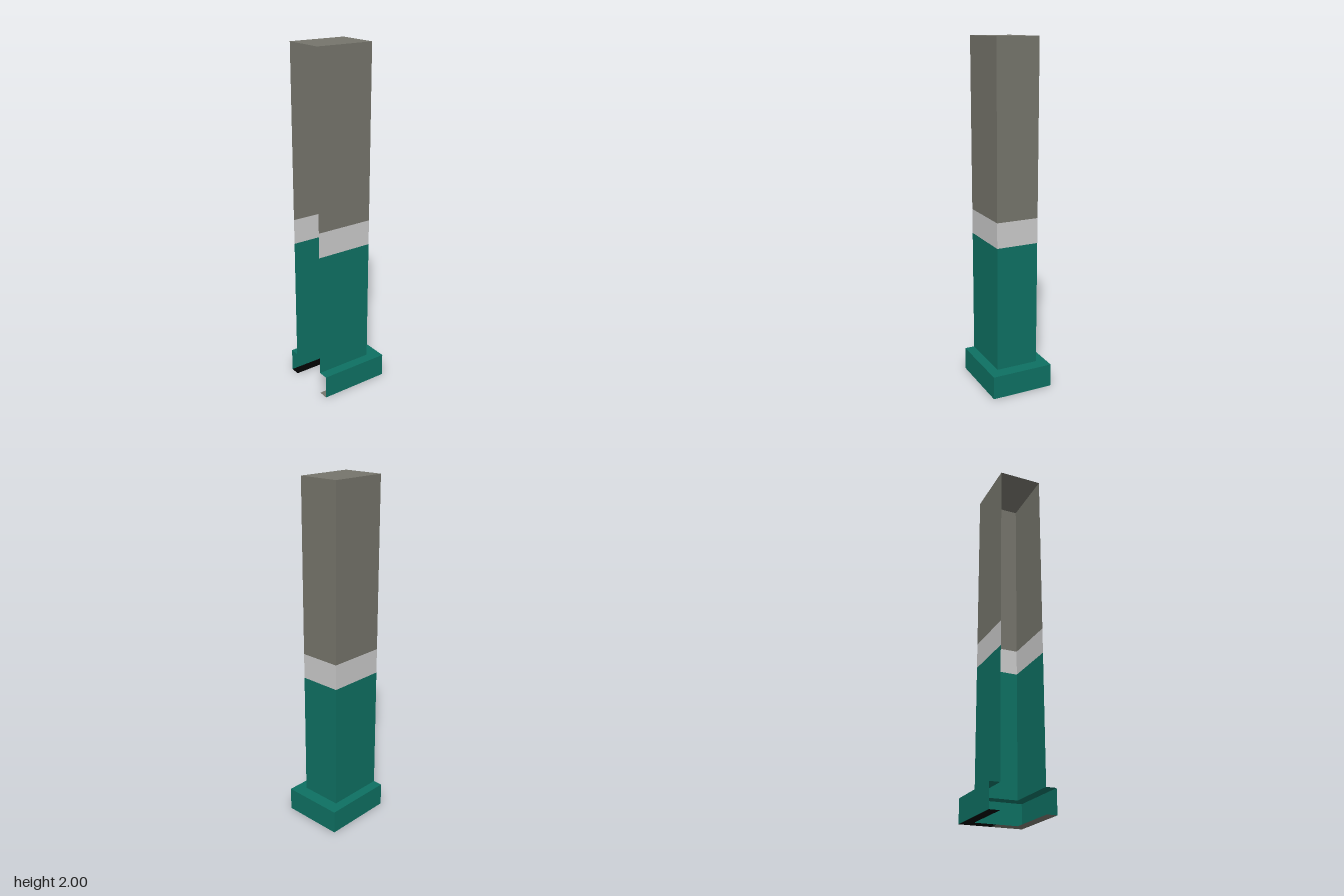
import * as THREE from 'three';

const mat = (name, color) =>
  new THREE.MeshStandardMaterial({ name, color, side: THREE.DoubleSide });

// Footprints: both are open on the -x side
const OPEN = -0.209;
const shaft = { x: 0.133, back: -0.126, front: 0.123 };
const base = { x: 0.208, back: -0.184, front: 0.182 };
const BASE_TOP = 0.136, BAND_LOW = 0.868, BAND_HIGH = 1.014, TOP = 2;

// Thin three-sided wall (front, +x side, back) between two heights
function wall(f, y0, y1) {
  const path = [[OPEN, f.front], [f.x, f.front], [f.x, f.back], [OPEN, f.back]];
  const pos = [];
  for (let i = 0; i < 3; i++) {
    const [ax, az] = path[i], [bx, bz] = path[i + 1];
    pos.push(ax, y0, az, bx, y0, bz, bx, y1, bz, ax, y0, az, bx, y1, bz, ax, y1, az);
  }
  const g = new THREE.BufferGeometry();
  g.setAttribute('position', new THREE.Float32BufferAttribute(pos, 3));
  g.computeVertexNormals();
  return g;
}

// Flat horizontal sheet from [x, z] corners, facing up or down
function sheet(corners, y, up) {
  const shape = new THREE.Shape(corners.map(([x, z]) => new THREE.Vector2(x, up ? -z : z)));
  const g = new THREE.ShapeGeometry(shape);
  g.rotateX(up ? -Math.PI / 2 : Math.PI / 2);
  return g.translate(0, y, 0);
}

export function createModel() {
  const model = new THREE.Group();
  model.name = 'post';
  const green = mat('green', 0x0e7062);
  const grey = mat('warm grey', 0x75746b);
  const white = mat('pale grey', 0xc9c9c9);
  const black = mat('black', 0x020202);
  const add = (name, geometry, material) => {
    const mesh = new THREE.Mesh(geometry, material);
    mesh.name = name;
    model.add(mesh);
  };

  // Shaft in three bands with a closed top
  add('lowerShaft', wall(shaft, BASE_TOP, BAND_LOW), green);
  add('paleBand', wall(shaft, BAND_LOW, BAND_HIGH), white);
  add('upperShaft', wall(shaft, BAND_HIGH, TOP), grey);
  add('topCap', sheet([[OPEN, shaft.front], [shaft.x, shaft.front],
    [shaft.x, shaft.back], [OPEN, shaft.back]], TOP, true), grey);

  // Hollow plinth: outer wall and upper ledge around the shaft
  add('plinthWall', wall(base, 0, BASE_TOP), green);
  add('plinthLedge', sheet([[OPEN, base.front], [base.x, base.front], [base.x, base.back],
    [OPEN, base.back], [OPEN, shaft.back], [shaft.x, shaft.back],
    [shaft.x, shaft.front], [OPEN, shaft.front]], BASE_TOP, true), green);

  // Underside rim, one L-shaped half for the front and one for the back
  for (const [side, material] of [['front', grey], ['back', black]]) {
    add(side + 'BottomRim', sheet([[OPEN, base[side]], [base.x, base[side]], [base.x, 0],
      [shaft.x, 0], [shaft.x, shaft[side]], [OPEN, shaft[side]]], 0, false), material);
  }
  return model;
}
